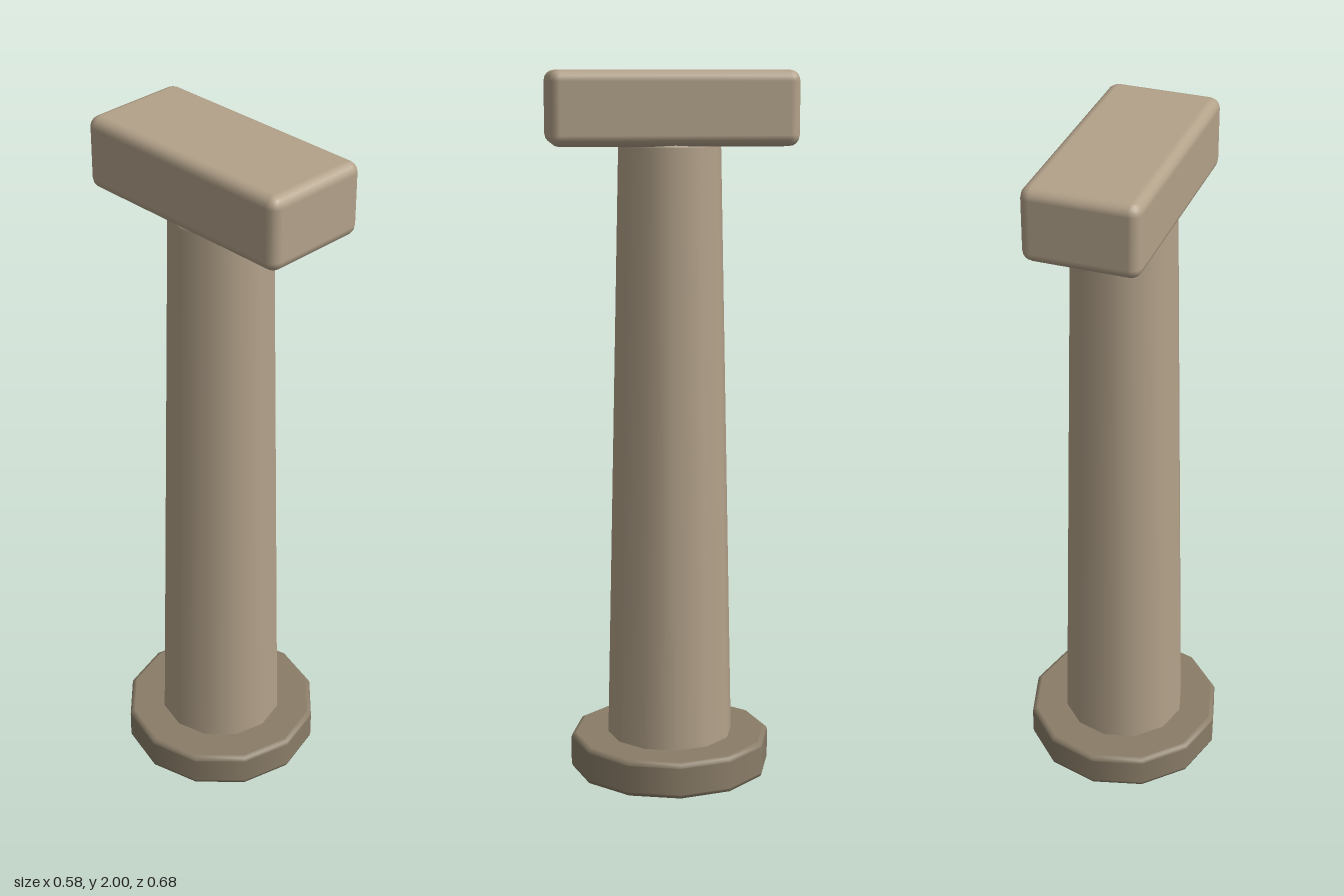
import * as THREE from 'three';
import { RoundedBoxGeometry } from 'three/addons/geometries/RoundedBoxGeometry.js';

const SIDES = 12;

// Twelve-sided tapered drum with softly bevelled rims and flat ends
function bevelledDrum(rBottom, rTop, y0, y1, bevel) {
  const c = Math.SQRT1_2, b = bevel, e = 0.002;
  const points = [
    [0, y0], [rBottom - b - e, y0], [rBottom - b, y0],
    [rBottom - b + b * c, y0 + b - b * c],
    [rBottom, y0 + b], [rBottom, y0 + b + e],
    [rTop, y1 - b - e], [rTop, y1 - b],
    [rTop - b + b * c, y1 - b + b * c],
    [rTop - b, y1], [rTop - b - e, y1], [0, y1],
  ].map(([x, y]) => new THREE.Vector2(x, y));
  return new THREE.LatheGeometry(points, SIDES);
}

export function createModel() {
  const group = new THREE.Group();
  const paleStone = new THREE.MeshStandardMaterial({ name: 'paleStone', color: 0xb3a28a });
  const darkStone = new THREE.MeshStandardMaterial({ name: 'darkStone', color: 0x8a7d68 });

  const add = (name, geometry, material, y = 0) => {
    const mesh = new THREE.Mesh(geometry, material);
    mesh.name = name;
    mesh.position.y = y;
    group.add(mesh);
  };

  // Round foot
  add('base', bevelledDrum(0.288, 0.288, 0, 0.105, 0.012), darkStone);

  // Tapered shaft, set into the base
  add('column', bevelledDrum(0.182, 0.143, 0.003, 1.81, 0.015), paleStone);

  // Long block on top, running front to back
  add('capital', new RoundedBoxGeometry(0.314, 0.204, 0.68, 2, 0.03), paleStone, 1.898);

  return group;
}
